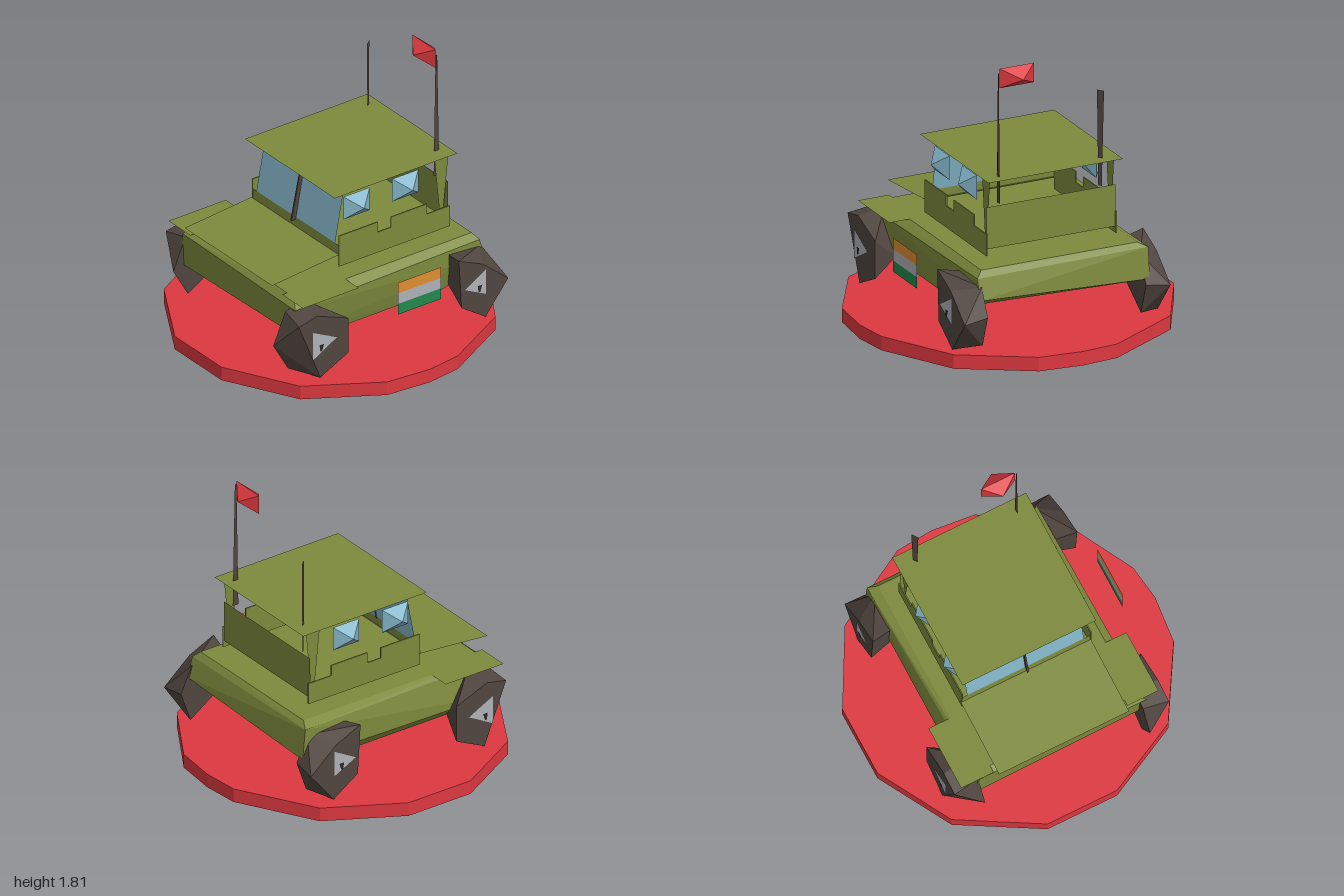
import * as THREE from 'three';
import { ConvexGeometry } from 'three/addons/geometries/ConvexGeometry.js';

const mat = (name, color) => {
  const m = new THREE.MeshStandardMaterial({ color, flatShading: true, side: THREE.DoubleSide });
  m.name = name;
  return m;
};
const V = (x, y, z) => new THREE.Vector3(x, y, z);

export function createModel() {
  const model = new THREE.Group();
  model.name = 'fieldCarOnStand';
  const olive = mat('olive', 0x7d8a3d), red = mat('red', 0xdc383f), rubber = mat('rubber', 0x50453f);
  const glass = mat('glass', 0x83b5c8), metal = mat('metal', 0xadb0b6);
  const orange = mat('orange', 0xdf8d30), green = mat('green', 0x23884c), black = mat('black', 0x2a2523);

  const add = (name, geo, material) => {
    const mesh = new THREE.Mesh(geo, material);
    mesh.name = name;
    model.add(mesh);
    return mesh;
  };
  const hull = (name, pts, material) => add(name, new ConvexGeometry(pts.map(p => V(...p))), material);
  // Flat convex sheet from its corners in order
  const sheet = (name, pts, material) => {
    const g = new THREE.BufferGeometry();
    const idx = [];
    for (let i = 1; i < pts.length - 1; i++) idx.push(0, i, i + 1);
    g.setAttribute('position', new THREE.Float32BufferAttribute(pts.flat(), 3));
    g.setIndex(idx);
    g.computeVertexNormals();
    return add(name, g, material);
  };
  const level = (x0, x1, y, z0, z1) => [[x0, y, z0], [x1, y, z0], [x1, y, z1], [x0, y, z1]];

  // Round stand with uneven facets
  const rim = [[-0.24, -0.98], [0, -1], [0.28, -0.97], [0.72, -0.7], [0.97, -0.23], [1, 0], [0.97, 0.3],
    [0.7, 0.75], [0.23, 0.99], [-0.24, 0.99], [-0.74, 0.7], [-1, 0.23], [-1, -0.23], [-0.74, -0.7]];
  const disc = new THREE.Shape(rim.map(([x, z]) => new THREE.Vector2(x, -z)));
  add('stand', new THREE.ExtrudeGeometry(disc, { depth: 0.09, bevelEnabled: false }).rotateX(-Math.PI / 2), red);

  // Lower body, chamfered above and below
  hull('body', [
    ...level(-0.53, 0.52, 0.59, -0.67, 0.66),
    [-0.59, 0.56, -0.7], [0.56, 0.55, -0.7], [0.58, 0.54, 0.7], [-0.55, 0.56, 0.7],
    [-0.59, 0.36, -0.72], [0.56, 0.42, -0.74], [0.55, 0.35, 0.68], [-0.59, 0.34, 0.69],
    ...level(-0.53, 0.53, 0.28, -0.45, 0.58),
  ], olive);

  // Fenders and hood
  sheet('leftFender', level(0.45, 0.66, 0.592, 0.28, 0.7), olive);
  sheet('rightFender', level(-0.68, -0.46, 0.592, 0.28, 0.71), olive);
  sheet('hood', [[-0.45, 0.665, 0.76], [0.43, 0.665, 0.76], [0.43, 0.71, 0.25], [-0.45, 0.71, 0.25]], olive);
  sheet('cowl', [[-0.44, 0.7, 0.26], [0.43, 0.7, 0.26], [0.43, 0.77, 0.255], [-0.44, 0.77, 0.255]], olive);

  // Notched side walls
  const wall = new THREE.Shape([[0.26, 0.63], [0.26, 0.84], [-0.03, 0.84], [-0.03, 0.77], [-0.13, 0.77],
    [-0.13, 0.84], [-0.4, 0.84], [-0.4, 0.77], [-0.57, 0.77], [-0.57, 0.63]].map(([z, y]) => new THREE.Vector2(-z, y)));
  for (const [side, x] of [['left', 0.43], ['right', -0.44]]) {
    const geo = new THREE.ExtrudeGeometry(wall, { depth: 0.008, bevelEnabled: false });
    add(side + 'Wall', geo.rotateY(Math.PI / 2).translate(x - 0.004, 0, 0), olive);
    // Tapered rear post
    sheet(side + 'Post', [[x * 0.96, 1.12, -0.47], [x * 0.96, 1.12, -0.575],
      [x * 0.96, 0.68, -0.53], [x * 0.96, 0.68, -0.515]], olive);
  }
  sheet('rearWall', [[-0.44, 0.67, -0.56], [0.43, 0.67, -0.56], [0.43, 0.94, -0.56], [-0.44, 0.94, -0.56]], olive);
  sheet('roof', level(-0.46, 0.445, 1.12, -0.62, 0.3), olive);

  // Split windscreen with a dark bar
  for (const [side, a, b] of [['right', -0.405, -0.012], ['left', -0.008, 0.385]])
    sheet(side + 'Windscreen', [[a, 0.765, 0.255], [b, 0.765, 0.255], [b, 1.11, 0.19], [a, 1.11, 0.19]], glass);
  hull('windscreenBar', [[-0.017, 0.755, 0.29], [-0.003, 0.755, 0.29], [-0.01, 0.755, 0.25],
    [-0.014, 1.1, 0.22], [-0.006, 1.1, 0.22], [-0.01, 1.1, 0.19]], rubber);

  // Faceted side windows
  for (const [side, x, s] of [['left', 0.395, 1], ['right', -0.41, -1]])
    for (const z of [0.1, -0.265])
      hull(side + 'Window', [
        ...[[-1, -1], [1, -1], [1, 1], [-1, 1]].map(([u, v]) => [x, 0.995 + v * 0.078, z + u * 0.098]),
        [x + s * 0.077, 0.995, z], [x - s * 0.05, 0.995, z],
      ], glass);

  // Aerial, flagpole and flag
  sheet('aerial', [[-0.353, 0.94, -0.548], [-0.339, 0.94, -0.529], [-0.334, 1.555, -0.522], [-0.362, 1.555, -0.56]], rubber);
  hull('flagpole', [[0.339, 0.95, -0.52], [0.339, 0.95, -0.562], [0.345, 0.95, -0.54],
    [0.339, 1.78, -0.534], [0.339, 1.78, -0.546], [0.342, 1.78, -0.54]], rubber);
  hull('flag', [[0.1, 1.685, -0.54], [0.33, 1.685, -0.54], [0.33, 1.81, -0.54], [0.1, 1.81, -0.54],
    [0.21, 1.745, -0.46], [0.21, 1.745, -0.62]], red);

  // Striped side panel
  [['green', green], ['white', metal], ['orange', orange]].forEach(([name, m], i) => {
    const y = 0.372 + i * 0.073;
    sheet(name + 'Stripe', [[0.75, y, 0.055], [0.75, y, -0.27], [0.75, y + 0.073, -0.27], [0.75, y + 0.073, 0.055]], m);
  });

  // Angular wheels: outer and inner outlines as [z, y], joined across the tyre
  const front = {
    outer: [[0.76, 0.5], [0.6, 0.1], [0.39, 0.2], [0.39, 0.44], [0.62, 0.53]],
    inner: [[0.83, 0.32], [0.72, 0.13], [0.74, 0.53], [0.6, 0.56], [0.44, 0.3]],
    hub: [[0.66, 0.24], [0.48, 0.34], [0.66, 0.43]],
  };
  const rear = {
    outer: [[-0.44, 0.55], [-0.46, 0.22], [-0.64, 0.1], [-0.81, 0.31], [-0.62, 0.47]],
    inner: [[-0.8, 0.33], [-0.73, 0.13], [-0.72, 0.5], [-0.48, 0.3], [-0.47, 0.52]],
    hub: [[-0.64, 0.26], [-0.48, 0.34], [-0.64, 0.43]],
  };
  const wheel = (name, w, xo, xi, dz) => {
    const s = Math.sign(xo);
    const at = (x, list) => list.map(([z, y]) => [x, y, z + dz]);
    hull(name, [...at(xo, w.outer), ...at(xi, w.inner)], rubber);
    sheet(name + 'Hub', at(xo + s * 0.006, w.hub), metal);
    const [cz, cy] = [0, 1].map(k => (w.hub[0][k] + w.hub[1][k] + w.hub[2][k]) / 3);
    sheet(name + 'Bolt', at(xo + s * 0.012, [[cz - 0.02, cy - 0.005], [cz + 0.015, cy - 0.005],
      [cz + 0.008, cy - 0.05], [cz - 0.005, cy - 0.05]]), black);
  };
  wheel('frontLeftWheel', front, 0.7, 0.535, 0);
  wheel('rearLeftWheel', rear, 0.7, 0.54, 0);
  wheel('frontRightWheel', front, -0.72, -0.55, -0.06);
  wheel('rearRightWheel', rear, -0.715, -0.555, 0.06);

  return model;
}
